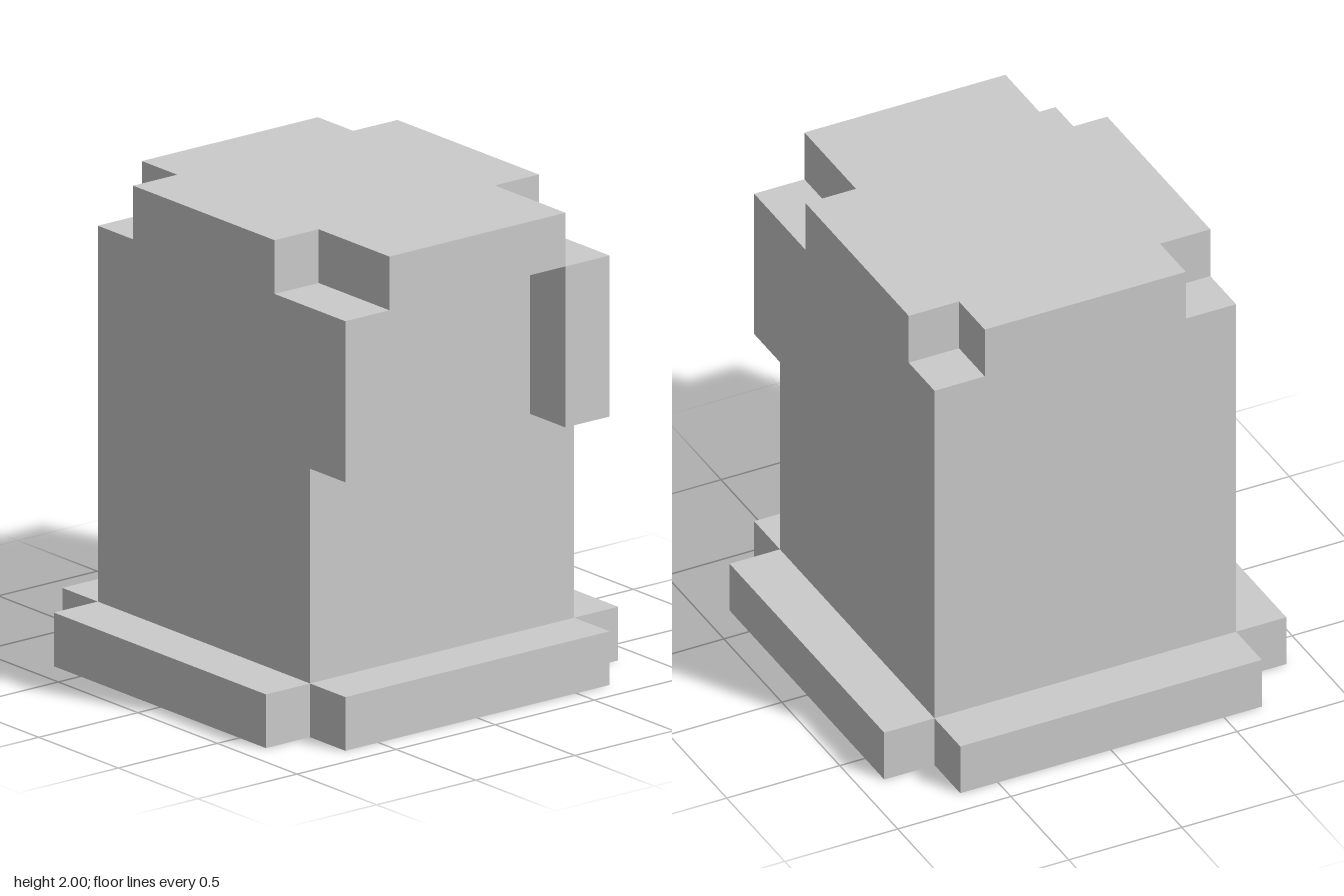
import * as THREE from 'three';

const U = 2 / 9; // grid unit of the blocky design

export function createModel() {
  const group = new THREE.Group();
  const material = new THREE.MeshStandardMaterial({ color: 0xcccccc, flatShading: true });

  const add = (name, geometry) => {
    const mesh = new THREE.Mesh(geometry, material);
    mesh.name = name;
    group.add(mesh);
  };

  // Box from its bounds, in grid units
  const box = (name, x0, x1, y0, y1, z0, z1) => {
    const g = new THREE.BoxGeometry((x1 - x0) * U, (y1 - y0) * U, (z1 - z0) * U);
    g.translate((x0 + x1) / 2 * U, (y0 + y1) / 2 * U, (z0 + z1) / 2 * U);
    add(name, g);
  };

  // Slab with notched corners: half width w, inner half width n,
  // z from back to front, notches reaching zb at the back and zf at the front
  const notchedSlab = (name, y0, y1, w, n, back, zb, zf, front) => {
    const half = [[n, back], [n, zb], [w, zb], [w, zf], [n, zf], [n, front]];
    const outline = [...half, ...half.map(([x, z]) => [-x, z]).reverse()];
    const shape = new THREE.Shape(outline.map(([x, z]) => new THREE.Vector2(x * U, z * U)));
    const g = new THREE.ExtrudeGeometry(shape, { depth: (y1 - y0) * U, bevelEnabled: false });
    g.rotateX(Math.PI / 2);
    g.translate(0, y1 * U, 0);
    add(name, g);
  };

  // Foot slab, main block and overhanging cap
  notchedSlab('base', 0, 1, 4, 3, -4, -3, 3, 4);
  box('body', -3, 3, 1, 8, -3, 3);
  notchedSlab('cap', 8, 9, 3, 2, -3, -2, 2, 4);

  // Tabs hanging at the front corners
  box('leftFrontTab', 2, 3, 5, 8, 3, 4);
  box('rightFrontTab', -3, -2, 5, 8, 3, 4);

  return group;
}
